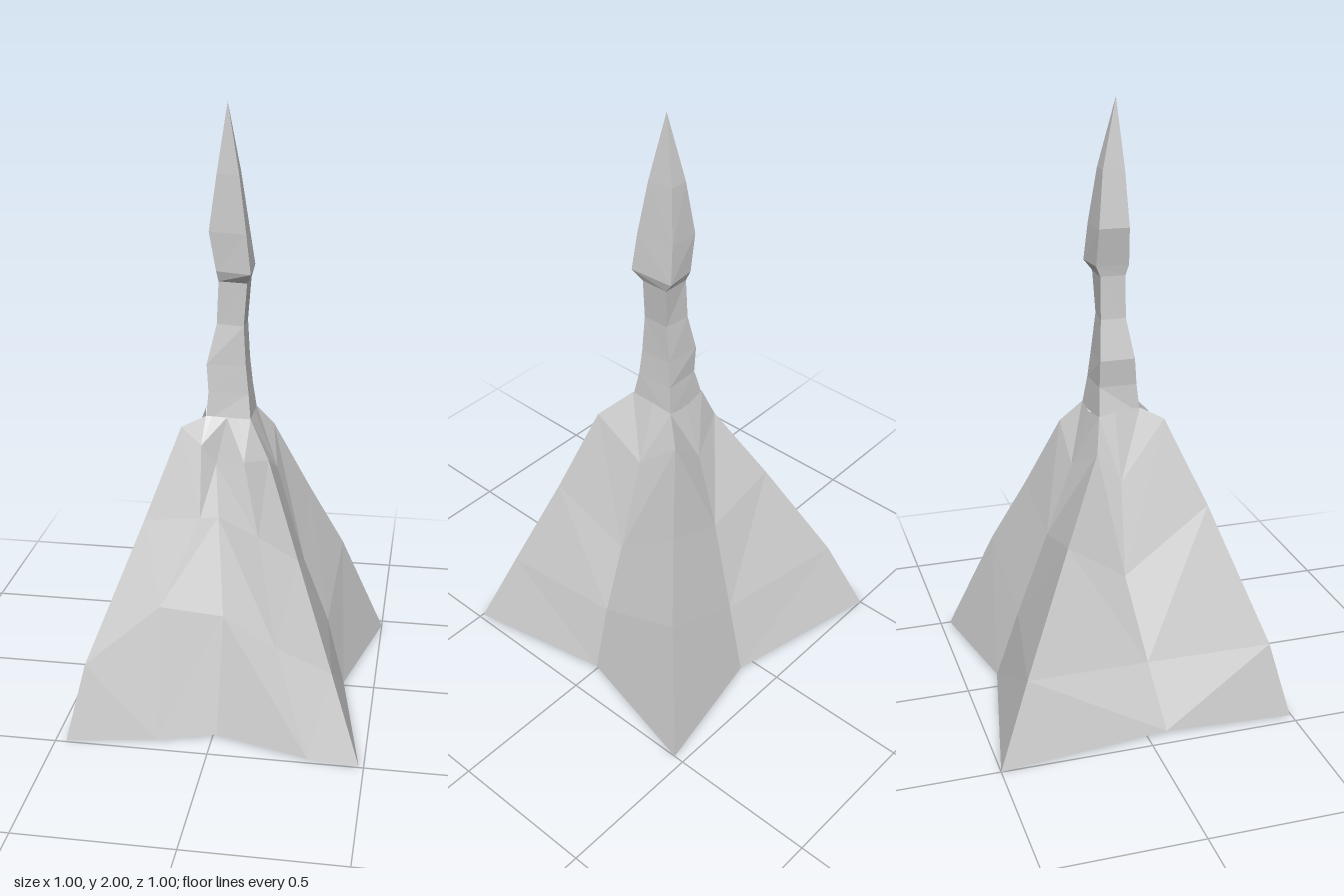
import * as THREE from 'three';

const material = new THREE.MeshStandardMaterial({ color: 0xcccccc, flatShading: true });

// Skins a list of rings (each a loop of [x, y, z], bottom to top) with flat facets.
function loft(name, rings, closeBottom = false) {
  const pos = [];
  const tri = (a, b, c) => pos.push(...a, ...b, ...c);
  const n = rings[0].length;
  for (let r = 0; r + 1 < rings.length; r++) {
    for (let i = 0; i < n; i++) {
      const j = (i + 1) % n;
      const [a, b, c, d] = [rings[r][i], rings[r][j], rings[r + 1][j], rings[r + 1][i]];
      // alternate the diagonal so the facets mirror about each ridge
      if (i % 2) { tri(a, b, c); tri(a, c, d); } else { tri(a, b, d); tri(b, c, d); }
    }
  }
  if (closeBottom) {
    const center = [0, 0.01, 0];
    rings[0].forEach((p, i) => tri(p, center, rings[0][(i + 1) % n]));
  }
  const geometry = new THREE.BufferGeometry();
  geometry.setAttribute('position', new THREE.Float32BufferAttribute(pos, 3));
  geometry.computeVertexNormals();
  const mesh = new THREE.Mesh(geometry, material);
  mesh.name = name;
  return mesh;
}

// Four-cornered ring: front left, back left, back right, front right as [x, z].
const square = (y, ...corners) => corners.map(([x, z]) => [x, y, z]);

export function createModel() {
  const group = new THREE.Group();
  group.name = 'tower';

  // Skirt: ridges and valleys from the ground up to the neck
  const columns = [
    [[0.015, 0.012, 0.4], [0.02, 0.39, 0.3], [-0.013, 0.69, 0.19], [-0.03, 0.85, 0.13], [0, 1, 0.095]], // front valley
    [[0.32, 0.005, 0.485], [0.2, 0.32, 0.358], [0.125, 0.65, 0.242], [0.065, 0.87, 0.155], [0.04, 1, 0.098]], // front left face
    [[0.485, 0, 0.497], [0.385, 0.27, 0.405], [0.26, 0.6, 0.29], [0.15, 0.9, 0.195], [0.078, 1, 0.1]], // front left ridge
    [[0.395, 0.012, 0], [0.335, 0.25, 0], [0.248, 0.48, 0.005], [0.155, 0.8, 0], [0.078, 1, 0.01]], // left valley
    [[0.5, 0, -0.465], [0.355, 0.4, -0.325], [0.24, 0.65, -0.225], [0.125, 0.91, -0.13], [0.075, 0.99, -0.065]], // back left ridge
    [[0.06, 0.012, -0.385], [0.04, 0.25, -0.31], [0.01, 0.55, -0.21], [0, 0.8, -0.125], [0, 0.98, -0.065]], // back valley
    [[-0.5, 0, -0.5], [-0.42, 0.26, -0.39], [-0.26, 0.62, -0.21], [-0.135, 0.88, -0.075], [-0.09, 0.99, -0.055]], // back right ridge
    [[-0.45, 0.012, 0.065], [-0.355, 0.22, 0.03], [-0.232, 0.48, -0.01], [-0.155, 0.78, 0], [-0.085, 1, 0]], // right valley
    [[-0.465, 0, 0.495], [-0.41, 0.25, 0.435], [-0.24, 0.7, 0.27], [-0.14, 0.98, 0.15], [-0.07, 1, 0.09]], // front right ridge
    [[-0.175, 0.005, 0.45], [-0.18, 0.43, 0.345], [-0.07, 0.69, 0.212], [-0.075, 0.92, 0.15], [-0.05, 1, 0.09]], // front crease lip
  ];
  const skirtRings = columns[0].map((_, level) => columns.map((c) => c[level]));
  group.add(loft('skirt', skirtRings, true));

  // Neck: uneven four-sided shaft
  group.add(loft('neck', [
    square(0.98, [0.079, 0.1], [0.076, -0.065], [-0.09, -0.055], [-0.07, 0.09]),
    square(1.08, [0.068, 0.08], [0.063, -0.05], [-0.062, -0.045], [-0.063, 0.08]),
    square(1.17, [0.058, 0.074], [0.055, -0.04], [-0.07, -0.045], [-0.07, 0.072]),
    square(1.3, [0.05, 0.068], [0.05, -0.025], [-0.04, -0.034], [-0.04, 0.05]),
    square(1.44, [0.06, 0.065], [0.06, -0.033], [-0.032, -0.033], [-0.034, 0.05]),
  ]));

  // Spire: flared collar rising to a point
  const tip = [-0.008, 0.025];
  group.add(loft('spire', [
    square(1.44, [0.06, 0.065], [0.06, -0.033], [-0.032, -0.033], [-0.034, 0.05]),
    square(1.475, [0.076, 0.097], [0.068, -0.06], [-0.036, -0.048], [-0.04, 0.06]),
    square(1.6, [0.06, 0.086], [0.05, -0.05], [-0.06, -0.045], [-0.064, 0.054]),
    square(1.78, [0.034, 0.062], [0.026, -0.026], [-0.037, -0.026], [-0.04, 0.045]),
    square(2, tip, tip, tip, tip),
  ]));

  return group;
}
